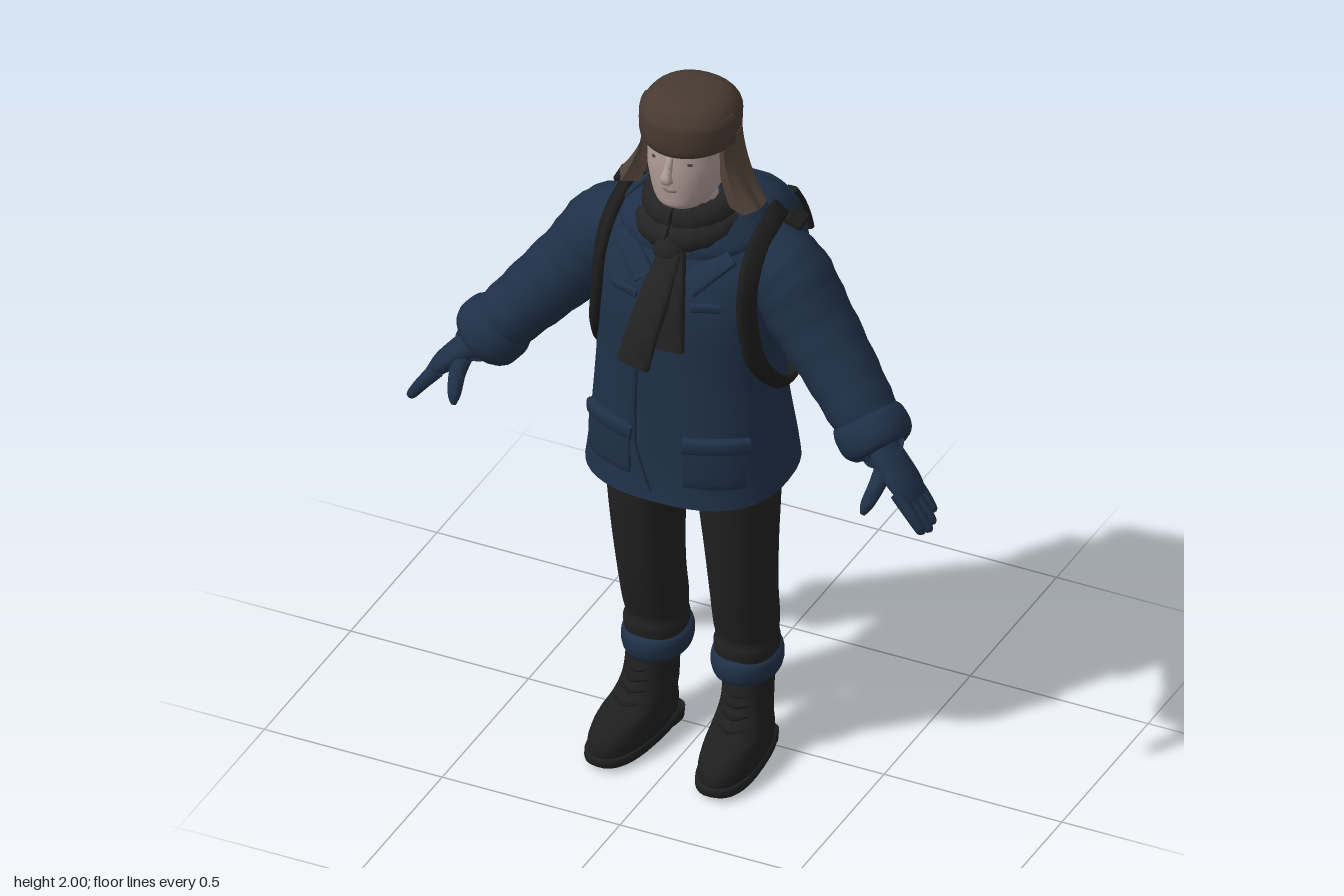
import * as THREE from 'three';
import { toCreasedNormals } from 'three/addons/utils/BufferGeometryUtils.js';
import { RoundedBoxGeometry } from 'three/addons/geometries/RoundedBoxGeometry.js';

const V = (x, y, z) => new THREE.Vector3(x, y, z);
const X = V(1, 0, 0), Y = V(0, 1, 0), Z = V(0, 0, 1);
const mat = (name, color) => Object.assign(new THREE.MeshStandardMaterial({ color }), { name });

// Catmull-Rom smoothing of rows of numbers
function smooth(rows, k = 5) {
  const out = [], last = rows.length - 1;
  for (let i = 0; i < last; i++) for (let j = 0; j < k; j++) {
    const t = j / k, [p, q, r, s] = [-1, 0, 1, 2].map(d => rows[Math.min(last, Math.max(0, i + d))]);
    out.push(q.map((v, c) => v + 0.5 * t * (r[c] - p[c] + t * (2 * p[c] - 5 * v + 4 * r[c] - s[c] + t * (3 * (v - r[c]) + s[c] - p[c])))));
  }
  out.push(rows[last]);
  return out;
}

// Closed skin over a series of rings, capped at both ends
function skin(rings, crease = 0.9) {
  const n = rings[0].length, m = rings.length, idx = [], pts = rings.flat();
  for (let i = 0; i < m - 1; i++) for (let j = 0; j < n; j++) {
    const a = i * n + j, b = i * n + (j + 1) % n;
    idx.push(a, b, a + n, b, b + n, a + n);
  }
  for (const [r, flip] of [[0, true], [m - 1, false]]) {
    const c = pts.length;
    pts.push(rings[r].reduce((s, p) => s.add(p), V(0, 0, 0)).divideScalar(n));
    for (let j = 0; j < n; j++) {
      const a = r * n + j, b = r * n + (j + 1) % n;
      flip ? idx.push(c, b, a) : idx.push(c, a, b);
    }
  }
  const g = new THREE.BufferGeometry().setFromPoints(pts);
  g.setIndex(idx);
  return toCreasedNormals(g, crease);
}

const pow = (v, e) => Math.sign(v) * Math.abs(v) ** e;
const oval = (n, seg, fn) => Array.from({ length: seg }, (_, j) => {
  const t = j / seg * Math.PI * 2;
  return fn(pow(Math.cos(t), 2 / n), pow(Math.sin(t), 2 / n));
});

// Horizontal ovals, bottom to top: [y, cx, cz, rx, rz]
const stack = (rows, { n = 2, tilt = 0, k = 5, seg = 32 } = {}) => skin(smooth(rows, k).map(([y, cx, cz, rx, rz]) =>
  oval(n, seg, (c, s) => V(cx + rx * c, y - tilt * rz * s, cz - rz * s))));

// Ovals along a path: [x, y, z, depth, width]; width follows the hint, or depth faces away from a centre
function sweep(rows, hint, { n = 2, k = 5, seg = 14, centre, fold = 0 } = {}) {
  const r = smooth(rows, k), p = r.map(q => V(q[0], q[1], q[2]));
  return skin(r.map((q, i) => {
    const T = p[Math.min(i + 1, p.length - 1)].clone().sub(p[Math.max(i - 1, 0)]).normalize();
    const h = centre ? T.clone().cross(p[i].clone().sub(centre)) : hint;
    const side = h.clone().cross(T).normalize(), up = T.clone().cross(side);
    const f = 1 + fold * Math.sin(i * 1.9);
    return oval(n, seg, (c, s) => p[i].clone().addScaledVector(side, c * q[3] * f).addScaledVector(up, s * q[4] * f));
  }));
}

// Thick curved sheet: fn(u, t, inner) with u left to right across the back, t top to bottom
function shell(u0, u1, fn, nu = 48, nt = 10) {
  return skin(Array.from({ length: nu + 1 }, (_, i) => {
    const u = u0 + (u1 - u0) * i / nu, ring = [];
    for (let j = nt; j >= 0; j--) ring.push(fn(u, j / nt, 0));
    for (let j = 0; j <= nt; j++) ring.push(fn(u, j / nt, 1));
    return ring;
  }));
}

const COAT = [[.875, 0, .075, .27, .225], [.95, 0, .075, .262, .212], [1.1, 0, .085, .248, .188], [1.25, 0, .085, .24, .178],
  [1.4, 0, .083, .245, .173], [1.5, 0, .07, .242, .16], [1.57, 0, .055, .212, .142], [1.62, 0, .05, .165, .128], [1.66, 0, .05, .12, .11]];
const PACK = [[1.09, 0, -.19, .165, .135], [1.16, 0, -.19, .182, .145], [1.3, 0, -.185, .185, .143], [1.42, 0, -.175, .18, .125],
  [1.5, 0, -.16, .165, .105], [1.56, 0, -.15, .135, .075], [1.59, 0, -.135, .08, .04]];

// Depth of a stacked surface at x, y; sign picks front or back
function depth(rows, n, x, y, sign = 1) {
  const i = Math.max(1, rows.findIndex(r => r[0] >= y)), a = rows[i - 1], b = rows[i];
  const [, , cz, rx, rz] = a.map((v, c) => v + (b[c] - v) * (y - a[0]) / (b[0] - a[0]));
  return cz + sign * rz * Math.max(0, 1 - Math.abs(x / rx) ** n) ** (1 / n);
}

export function createModel() {
  const root = new THREE.Group();
  const navy = mat('navy cloth', 0x1f3047), black = mat('black webbing', 0x1c1c1c), wool = mat('charcoal scarf', 0x232324),
    trouser = mat('black trousers', 0x212121), leather = mat('boot leather', 0x1f1f20), fur = mat('brown fur', 0x53443b),
    cap = mat('brown cap', 0x483a31), skinTone = mat('skin', 0xae9a96), lip = mat('lips', 0x917b77), eye = mat('eyes', 0x4c4341);
  const add = (name, geo, m, parent = root) => {
    const mesh = new THREE.Mesh(geo, m);
    mesh.name = name;
    parent.add(mesh);
    return mesh;
  };
  const box = (name, w, h, d, m, pos, rot = [0, 0, 0]) => {
    const b = add(name, new RoundedBoxGeometry(w, h, d, 3, Math.min(w, h, d) * .35), m);
    b.position.set(...pos);
    b.rotation.set(...rot);
  };
  // Strip lying on the coat front
  const onCoat = (name, pts, a, b, hint) => add(name, sweep(pts.map(([x, y]) => [x, y, depth(COAT, 2.5, x, y) + .003, a, b]), hint, { n: 4 }), navy);

  // Coat
  add('coat', stack(COAT, { n: 2.5, tilt: -.06, seg: 48 }), navy);
  add('collar', stack([[1.575, 0, .062, .2, .155], [1.6, 0, .06, .2, .155], [1.64, 0, .055, .165, .14], [1.67, 0, .05, .13, .115]], { tilt: -.1, seg: 40 }), navy);
  onCoat('placket', [[-.06, 1.5], [-.075, 1.3], [-.075, 1.05], [-.06, .97], [-.02, .885]], .007, .012, X);
  add('hood', shell(-1.9, 1.9, (f, t, inner) => {
    const r = inner * .03, sag = t * Math.max(0, Math.cos(f));
    return V(Math.sin(f) * (.125 + .08 * t - r), 1.69 - .085 * t - .07 * sag - inner * .01, .045 - Math.cos(f) * (.105 + .075 * t - r));
  }), navy);

  // Face
  add('head', stack([[1.58, 0, .07, .065, .065], [1.67, 0, .085, .065, .075], [1.7, 0, .115, .065, .09], [1.73, 0, .1, .085, .112],
    [1.79, 0, .095, .1, .12], [1.84, 0, .09, .102, .122], [1.93, 0, .08, .1, .12]], { n: 2.2 }), skinTone);
  add('nose', sweep([[0, 1.86, .207, .008, .009], [0, 1.825, .222, .013, .011], [0, 1.8, .233, .014, .017], [0, 1.785, .217, .007, .012]], X), skinTone);
  add('mouth', sweep([[-.034, 1.757, .199, .004, .003], [0, 1.757, .213, .006, .007], [.034, 1.757, .199, .004, .003]], Y), lip);
  add('chin', new THREE.SphereGeometry(.032, 16, 12).translate(0, 1.725, .18), skinTone);

  // Fur hat
  add('hatCrown', stack([[1.865, 0, .082, .12, .13], [1.92, 0, .084, .126, .135], [1.955, 0, .088, .121, .127], [1.985, 0, .092, .094, .098],
    [1.998, 0, .095, .05, .055], [2, 0, .095, .01, .01]], { n: 2.2 }), cap);
  const band = [];
  for (let i = -6; i <= 6; i++) {
    const f = i / 6 * 1.5;
    band.push([Math.sin(f) * .119, 1.91, .085 + Math.cos(f) * .128, .013, .05 - .004 * Math.abs(i) / 6]);
  }
  add('hatBrim', sweep(band, Y, { n: 3 }), cap);
  add('hatSeam', sweep([[0, 1.965, .205, .004, .004], [0, 1.99, .17, .004, .004], [0, 1.997, .1, .004, .004]], X), cap);
  add('hatFlaps', shell(-1.98, 1.98, (f, t, inner) => {
    const side = Math.sin(f) ** 2, r = inner * (.015 + .035 * t), wave = .004 * t * Math.sin(f * 15);
    return V(Math.sin(f) * (.124 + .075 * t * t * side - r + wave), 1.885 - .2 * t + wave, .08 - Math.cos(f) * (.135 + .006 * t - r + wave));
  }, 80), fur);

  // Scarf
  [[1.665, .1, .105, .03, .04], [1.615, .115, .12, .035, .04]].forEach(([y, rx, rz, a, b], c) => {
    const loop = [];
    for (let i = 0; i <= 16; i++) {
      const f = i / 16 * Math.PI * 2;
      loop.push([Math.sin(f) * rx, y - Math.cos(f + c * .7) * .012, .075 + Math.cos(f) * rz, a, b]);
    }
    add('scarfCoil', sweep(loop, Y, { k: 4, fold: .05 }), wool);
  });
  add('scarfKnot', new THREE.SphereGeometry(.042, 16, 12).scale(1, 1, .8).translate(0, 1.575, .215), wool);
  add('scarfLongTail', sweep([[.01, 1.58, .22, .018, .032], [-.005, 1.48, .28, .018, .04], [-.025, 1.38, .32, .015, .043], [-.042, 1.29, .338, .013, .045]], X, { n: 4 }), wool);
  add('scarfShortTail', sweep([[.015, 1.58, .215, .016, .03], [.03, 1.47, .265, .016, .036], [.037, 1.325, .285, .013, .038]], X, { n: 4 }), wool);

  // Backpack
  add('pack', stack(PACK, { n: 2.8, seg: 40 }), navy);
  add('packLid', shell(-1, 1, (u, t, inner) => {
    const x = .145 * u, top = 1.57 - .05 * u * u, y = top - t * (top - 1.335 - .13 * u ** 4);
    return V(x, y, depth(PACK, 2.8, x, y, -1) - (inner ? -.01 : .014));
  }, 32), navy);
  add('packBase', stack([[1.06, 0, -.21, .15, .115], [1.075, 0, -.205, .18, .14], [1.13, 0, -.19, .19, .152], [1.145, 0, -.19, .182, .146]], { n: 3, tilt: .1 }), black);

  for (const s of [1, -1]) {
    const side = s > 0 ? 'left' : 'right';
    const limb = (name, rows, hint, m, opt) => add(side + name, sweep(rows.map(([x, ...r]) => [x * s, ...r]), hint, opt), m);
    const tier = (name, rows, m, opt, parent) => add(side + name, stack(rows.map(([y, x, ...r]) => [y, x * s, ...r]), opt), m, parent);

    // Sleeve and cuff
    limb('Sleeve', [[.13, 1.53, .05, .06, .08], [.2, 1.51, .05, .1, .11], [.255, 1.465, .05, .115, .118], [.325, 1.375, .062, .104, .112],
      [.42, 1.265, .09, .094, .1], [.5, 1.175, .12, .085, .092], [.55, 1.125, .135, .075, .08]], Z, navy, { seg: 24, fold: .018 });
    limb('SleeveCuff', [[.5, 1.17, .12, .08, .085], [.517, 1.15, .127, .095, .098], [.55, 1.118, .14, .096, .098], [.568, 1.098, .147, .075, .08],
      [.57, 1.096, .148, .05, .05]], Z, navy, { seg: 24 });

    // Mitten hand with fingers and thumb
    limb('Palm', [[.555, 1.11, .15, .045, .05], [.605, 1.07, .165, .037, .055], [.65, 1.03, .178, .028, .058], [.678, .998, .183, .018, .05]], Z, navy);
    for (let i = 0; i < 4; i++) {
      const z = .14 + i * .029, l = [.8, .95, 1, .92][i];
      limb('Finger', [[.645, 1.03, z, .018, .016], [.645 + .045 * l, 1.03 - .052 * l, z + .004, .017, .0155],
        [.645 + .078 * l, 1.03 - .097 * l, z + .005, .013, .012], [.645 + .083 * l, 1.03 - .105 * l, z + .005, .004, .004]], Z, navy, { seg: 10 });
    }
    limb('Thumb', [[.59, 1.075, .175, .025, .025], [.59, 1.04, .225, .022, .022], [.58, 1.0, .265, .017, .017], [.575, .978, .28, .006, .006]], X, navy);

    // Trouser leg and turn-up
    tier('TrouserLeg', [[.26, .127, .02, .074, .08], [.32, .127, .025, .082, .086], [.35, .127, .024, .077, .083], [.39, .128, .03, .081, .087],
      [.5, .13, .05, .082, .094], [.65, .131, .066, .09, .102], [.8, .128, .072, .1, .115], [.93, .12, .074, .105, .117]], trouser, { n: 2.3 });
    tier('TurnUp', [[.235, .126, .02, .07, .085], [.24, .126, .02, .084, .098], [.265, .126, .02, .091, .105], [.293, .126, .02, .088, .102], [.305, .126, .02, .074, .085]], navy, { tilt: -.06 });

    // Boot
    const boot = new THREE.Group();
    boot.name = side + 'Boot';
    boot.position.x = s * .132;
    boot.rotation.y = s * .09;
    root.add(boot);
    tier('BootUpper', [[.02, .002, .125, .07, .172], [.06, .002, .125, .075, .176], [.1, .002, .11, .07, .158], [.125, 0, .072, .066, .12],
      [.16, 0, .045, .062, .095], [.2, 0, .033, .062, .083], [.27, 0, .022, .066, .075]], leather, { n: 2.3 }, boot);
    tier('BootSole', [[.012, .002, .127, .074, .176], [.016, .002, .127, .077, .18], [.034, .002, .127, .077, .18], [.038, .002, .127, .074, .176]], leather, { n: 2.6, k: 2 }, boot);
    tier('BootHeel', [[0, 0, .005, .062, .055], [.03, 0, .005, .064, .057]], leather, { n: 3, k: 1 }, boot);
    for (let i = 0; i < 4; i++) {
      const y = .13 + i * .024, z = [.18, .148, .129, .117][i];
      add(side + 'Lace', sweep([[-.035, y + .004, z - .018, .005, .005], [0, y, z, .006, .006], [.035, y + .004, z - .018, .005, .005]], Y, { seg: 8 }), black, boot);
    }

    // Lapels and pockets
    const lay = (name, pts, a, b, hint) => onCoat(side + name, pts.map(([x, y]) => [x * s, y]), a, b, hint);
    lay('Lapel', [[.15, 1.575], [.11, 1.54], [.06, 1.49]], .01, .03, X);
    lay('Pocket', [[.075, .985], [.13, .985], [.185, .985], [.215, .985]], .009, .065, Y);
    lay('PocketFlap', [[.07, 1.04], [.13, 1.045], [.185, 1.045], [.22, 1.04]], .016, .022, Y);
    lay('ChestFlap', [[.075, 1.44], [.11, 1.445], [.15, 1.445]], .008, .012, Y);

    // Eyes and ears
    box(side + 'Eye', .03, .009, .008, eye, [s * .042, 1.838, .199], [0, s * .25, 0]);
    add(side + 'Ear', new THREE.SphereGeometry(.03, 12, 10).scale(.5, 1.2, .8).translate(s * .103, 1.81, .085), skinTone);

    // Shoulder strap and pack fittings
    limb('ShoulderStrap', [[.16, 1.56, -.1, .01, .026], [.2, 1.622, .0, .01, .026], [.205, 1.59, .12, .012, .027], [.207, 1.51, .185, .012, .027],
      [.212, 1.4, .197, .012, .028], [.228, 1.28, .178, .012, .026], [.25, 1.19, .11, .01, .02], [.253, 1.15, .03, .009, .018], [.21, 1.12, -.07, .009, .018], [.17, 1.11, -.13, .009, .018]],
    null, black, { n: 4, centre: V(0, 1.36, .06) });
    box(side + 'StrapBuckle', .05, .025, .06, black, [s * .24, 1.595, -.03], [.2, 0, -s * .5]);
    const lidStrap = [1.53, 1.48, 1.43, 1.385].map((y, i) => {
      const x = .125 + i * .006;
      return [x, y, depth(PACK, 2.8, x, y, -1) - .016, .009, .017];
    });
    limb('LidStrap', lidStrap, X, black, { n: 4 });
    box(side + 'SideBuckle', .03, .045, .06, black, [s * .178, 1.36, -.225], [.4, 0, 0]);
    box(side + 'Pouch', .105, .12, .06, navy, [s * .095, 1.135, -.325], [.08, s * .25, 0]);
    box(side + 'PouchFlap', .112, .035, .068, navy, [s * .095, 1.185, -.325], [.08, s * .25, 0]);
    for (const d of [-.06, .06]) box(side + 'PouchStrap', .018, .125, .062, black, [s * (.095 + d), 1.13, -.323 + Math.sign(d) * .015], [.08, s * .25, 0]);
    box(side + 'SidePouch', .05, .11, .11, black, [s * .18, 1.14, -.21], [.05, 0, 0]);
  }
  return root;
}
